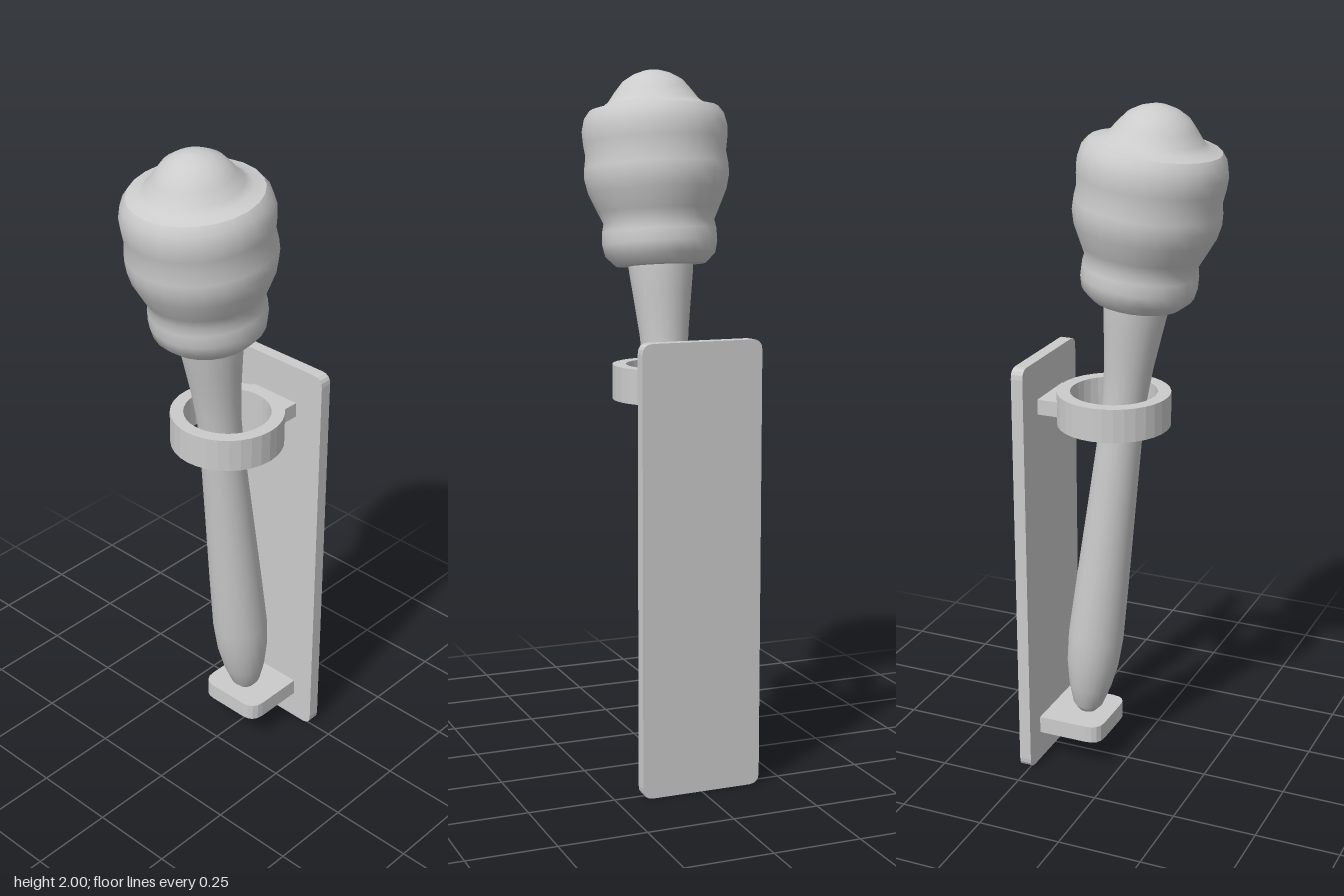
import * as THREE from 'three';

const material = new THREE.MeshStandardMaterial({ color: 0xcccccc, side: THREE.DoubleSide });

function addMesh(parent, name, geometry) {
  const mesh = new THREE.Mesh(geometry, material);
  mesh.name = name;
  parent.add(mesh);
  return mesh;
}

// Turned part: profile as [radius, height] pairs, bottom to top
function turned(profile, sides = 24) {
  return new THREE.LatheGeometry(profile.map(([r, y]) => new THREE.Vector2(r, y)), sides);
}

// Rectangle with chosen corner radii at the low-x and high-x ends
function roundedRect(x0, x1, halfWidth, rLow, rHigh) {
  const s = new THREE.Shape();
  const w = halfWidth;
  s.moveTo(x0 + rLow, -w);
  s.lineTo(x1 - rHigh, -w);
  if (rHigh) s.quadraticCurveTo(x1, -w, x1, -w + rHigh);
  s.lineTo(x1, w - rHigh);
  if (rHigh) s.quadraticCurveTo(x1, w, x1 - rHigh, w);
  s.lineTo(x0 + rLow, w);
  if (rLow) s.quadraticCurveTo(x0, w, x0, w - rLow);
  s.lineTo(x0, -w + rLow);
  if (rLow) s.quadraticCurveTo(x0, -w, x0 + rLow, -w);
  return s;
}

// Extrude a shape drawn in x/z upwards from y0 to y1
function slab(shape, y0, y1, curveSegments = 4) {
  const g = new THREE.ExtrudeGeometry(shape, { depth: y1 - y0, bevelEnabled: false, curveSegments });
  return g.rotateX(-Math.PI / 2).translate(0, y0, 0);
}

export function createModel() {
  const model = new THREE.Group();
  model.name = 'wallTorch';

  // Wall bracket: plate, lower ledge, upper arm and ring
  const bracket = new THREE.Group();
  bracket.name = 'bracket';
  model.add(bracket);

  const plate = new THREE.ExtrudeGeometry(roundedRect(0, 1.27, 0.176, 0.03, 0.03),
    { depth: 0.036, bevelEnabled: false, curveSegments: 4 });
  plate.rotateZ(Math.PI / 2).rotateY(Math.PI / 2).translate(0.244, 0, 0);
  addMesh(bracket, 'wallPlate', plate);

  addMesh(bracket, 'ledge', slab(roundedRect(0.05, 0.25, 0.107, 0.045, 0), 0.09, 0.142));
  addMesh(bracket, 'ringArm', slab(roundedRect(0.182, 0.25, 0.083, 0, 0), 1.11, 1.155));

  const ring = new THREE.Shape().absarc(0.043, 0, 0.163, 0, Math.PI * 2, false);
  ring.holes.push(new THREE.Path().absarc(0.043, 0, 0.125, 0, Math.PI * 2, true));
  addMesh(bracket, 'holdingRing', slab(ring, 1.085, 1.183, 16));

  // Torch leaning away from the wall
  const torch = new THREE.Group();
  torch.name = 'torch';
  torch.position.set(0.135, 0.143, 0);
  torch.rotation.z = THREE.MathUtils.degToRad(7);
  model.add(torch);

  addMesh(torch, 'handle', turned([
    [0, 0], [0.028, 0.003], [0.045, 0.025], [0.064, 0.09], [0.078, 0.17], [0.083, 0.26],
    [0.078, 0.45], [0.07, 0.7], [0.063, 0.93], [0.063, 1.03], [0.07, 1.13], [0.082, 1.23],
    [0.092, 1.31], [0.092, 1.34],
  ]));

  // Wrapped head with bulging bands
  addMesh(torch, 'headUnderside', turned([[0.085, 1.322], [0.128, 1.324]]));
  addMesh(torch, 'head', turned([
    [0.128, 1.324], [0.157, 1.352], [0.164, 1.385], [0.163, 1.42], [0.158, 1.445],
    [0.172, 1.475], [0.197, 1.53], [0.206, 1.57], [0.205, 1.6], [0.2, 1.635],
    [0.205, 1.67], [0.207, 1.705], [0.199, 1.74], [0.183, 1.762],
  ]));

  // Flared cap on top of the head
  addMesh(torch, 'cap', turned([
    [0.183, 1.762], [0.15, 1.77], [0.13, 1.784], [0.108, 1.814], [0.085, 1.842],
    [0.055, 1.86], [0.025, 1.87], [0, 1.872],
  ]));

  return model;
}
